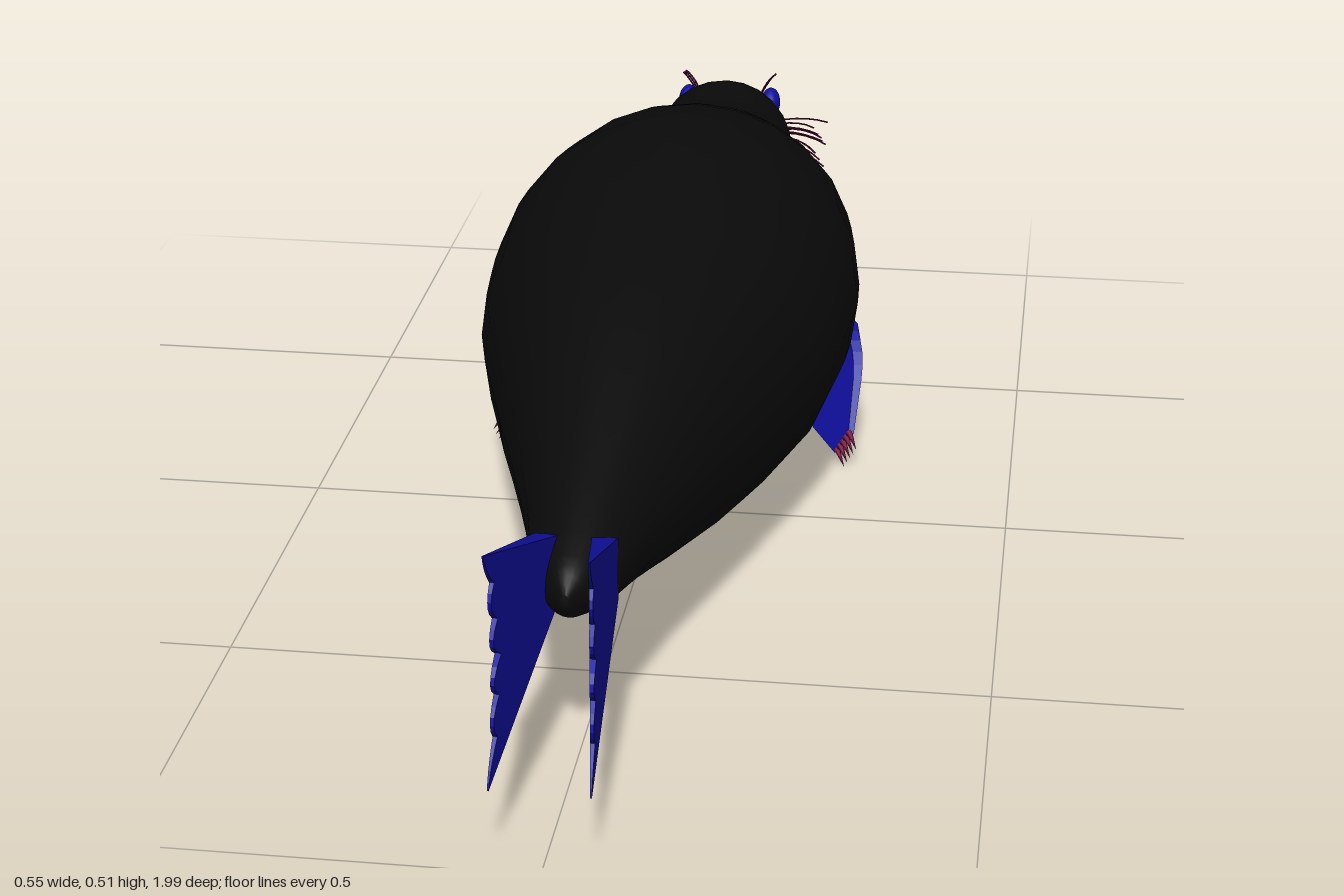
import * as THREE from 'three';

const mat = (name, color) => {
  const m = new THREE.MeshStandardMaterial({ color });
  m.name = name;
  return m;
};

// Body stations from tail to nose: z, top y, bottom y, half width
const STATIONS = [
  [0.81, 0.28, 0.26, 0.006], [0.78, 0.305, 0.235, 0.03], [0.73, 0.325, 0.217, 0.055],
  [0.6, 0.37, 0.178, 0.085], [0.3, 0.465, 0.085, 0.172], [0, 0.512, 0.026, 0.252],
  [-0.2, 0.523, 0.013, 0.268], [-0.4, 0.494, 0.055, 0.243], [-0.55, 0.445, 0.11, 0.19],
  [-0.7, 0.402, 0.158, 0.123], [-0.82, 0.397, 0.177, 0.11], [-0.9, 0.365, 0.192, 0.087],
  [-0.95, 0.335, 0.207, 0.068], [-0.98, 0.31, 0.23, 0.045], [-0.992, 0.28, 0.262, 0.012],
];

function bodyGeometry() {
  const size = new THREE.CatmullRomCurve3(STATIONS.map((s) => new THREE.Vector3(s[1], s[2], s[3])));
  const along = new THREE.CatmullRomCurve3(STATIONS.map((s) => new THREE.Vector3(0, 0, s[0])));
  const sides = 24, rings = (STATIONS.length - 1) * 3, pos = [], idx = [];
  for (let i = 0; i <= rings; i++) {
    const p = size.getPoint(i / rings), z = along.getPoint(i / rings).z;
    for (let j = 0; j < sides; j++) {
      const a = (j / sides) * Math.PI * 2;
      pos.push(p.z * Math.sin(a), (p.x + p.y) / 2 + ((p.x - p.y) / 2) * Math.cos(a), z);
      if (i === rings) continue;
      const k = (j + 1) % sides, q = i * sides, r = q + sides;
      idx.push(q + j, q + k, r + j, q + k, r + k, r + j);
    }
  }
  // Close both ends
  const last = rings * sides;
  for (let j = 1; j < sides - 1; j++) {
    idx.push(0, j + 1, j, last, last + j, last + j + 1);
  }
  const g = new THREE.BufferGeometry();
  g.setAttribute('position', new THREE.Float32BufferAttribute(pos, 3));
  g.setIndex(idx);
  g.computeVertexNormals();
  return g;
}

// Thin blade drawn in (z, y), then set at x = side * centre(z, y) with a varying half thickness
function bladeGeometry(shape, side, centre, half) {
  const g = new THREE.ExtrudeGeometry(shape, { depth: 2, bevelEnabled: false, curveSegments: 5 });
  const p = g.attributes.position;
  for (let i = 0; i < p.count; i++) {
    const z = p.getX(i), y = p.getY(i), d = p.getZ(i) - 1;
    p.setXYZ(i, side * centre(z, y) - d * half(z), y, z);
  }
  g.computeVertexNormals();
  return g;
}

// Tail fin with a webbed trailing edge
function tailFinShape() {
  const s = new THREE.Shape();
  s.moveTo(0.72, 0.235);
  s.lineTo(1, 0.12);
  const notches = [[0.965, 0.172], [0.955, 0.222], [0.945, 0.27], [0.955, 0.32], [0.965, 0.37], [1, 0.42]];
  let y0 = 0.12;
  for (const [z, y] of notches) {
    s.quadraticCurveTo(0.993, (y0 + y) / 2, z, y);
    y0 = y;
  }
  s.lineTo(0.72, 0.315);
  s.closePath();
  return s;
}

function flipperShape() {
  const s = new THREE.Shape();
  s.moveTo(-0.2, 0.058);
  s.lineTo(-0.245, 0.125);
  s.quadraticCurveTo(-0.28, 0.175, -0.32, 0.185);
  s.lineTo(-0.385, 0.182);
  s.lineTo(-0.38, 0.14);
  s.quadraticCurveTo(-0.34, 0.08, -0.3, 0.06);
  s.lineTo(-0.255, 0.04);
  s.lineTo(-0.2, 0.025);
  s.closePath();
  return s;
}
const flipperX = (z, y) => 0.25 + 0.6 * (y - 0.17) + (z < -0.3 ? 0.4 : 0.8) * (z + 0.3);

export function createModel() {
  const root = new THREE.Group();
  root.name = 'seal';
  const skin = mat('blackSkin', 0x0a0a0a);
  const blue = mat('blueFlipper', 0x1010a0);
  const claw = mat('crimsonClaw', 0x801040);
  const hair = mat('purpleWhisker', 0x5a0a40);
  const green = mat('greenCheek', 0x10c010);
  green.side = THREE.DoubleSide;

  const add = (name, geometry, material, parent = root) => {
    const m = new THREE.Mesh(geometry, material);
    m.name = name;
    parent.add(m);
    return m;
  };

  add('body', bodyGeometry(), skin);

  for (const s of [1, -1]) {
    const side = s > 0 ? 'left' : 'right';

    add(side + 'TailFin', bladeGeometry(tailFinShape(), s,
      (z) => 0.035 + 0.025 * (z - 0.72) / 0.28,
      (z) => 0.001 + 0.015 * (1 - z) / 0.28), blue);

    // Front flipper and its five claws
    add(side + 'Flipper', bladeGeometry(flipperShape(), s, flipperX,
      (z) => 0.004 + 0.045 * Math.min(0.2, -0.2 - z)), blue);
    const claws = new THREE.Group();
    claws.name = side + 'Claws';
    root.add(claws);
    const dir = new THREE.Vector3(s * 0.013, -0.016, 0.027);
    for (let i = 0; i < 5; i++) {
      const y = 0.027 + 0.0072 * i;
      const c = add('claw', new THREE.ConeGeometry(0.005, 0.036, 6), claw, claws);
      c.position.set(s * flipperX(-0.2, y), y, -0.2).addScaledVector(dir, 0.35);
      c.quaternion.setFromUnitVectors(new THREE.Vector3(0, 1, 0), dir.clone().normalize());
    }

    // Eye and lip patch
    const eye = add(side + 'Eye', new THREE.SphereGeometry(1, 14, 10), blue);
    eye.scale.set(0.016, 0.024, 0.025);
    eye.position.set(s * 0.068, 0.342, -0.885);
    const lip = add(side + 'Lip', new THREE.SphereGeometry(1, 12, 8), blue);
    lip.scale.set(0.012, 0.01, 0.025);
    lip.position.set(s * 0.045, 0.222, -0.93);

    // Cheek flap, flat across the body
    const flap = new THREE.Shape([[0.04, 0.21], [0.085, 0.22], [0.088, 0.148], [0.028, 0.155]]
      .map(([x, y]) => new THREE.Vector2(s * x, y)));
    add(side + 'CheekFlap', new THREE.ShapeGeometry(flap), green).position.z = -0.87;

    // Whiskers on the muzzle and above the eye
    const whiskers = new THREE.Group();
    whiskers.name = side + 'Whiskers';
    root.add(whiskers);
    const strand = (a, b, c) => {
      const curve = new THREE.QuadraticBezierCurve3(...[a, b, c].map(
        ([x, y, z]) => new THREE.Vector3(s * x, y, z)));
      add('whisker', new THREE.TubeGeometry(curve, 6, 0.0014, 4), hair, whiskers);
    };
    for (let row = 0; row < 3; row++) {
      for (let i = 0; i < 4; i++) {
        const z = -0.965 + 0.016 * i, y = 0.245 + 0.016 * row;
        const tipZ = -0.99 + 0.033 * i, reach = 0.135 + 0.01 * ((i + row) % 3);
        strand([0.05, y, z], [0.105, y + 0.012, (z + tipZ) / 2 - 0.012],
          [reach, y - 0.025 + 0.012 * row, tipZ]);
      }
    }
    for (let i = 0; i < 3; i++) {
      strand([0.05, 0.35, -0.9 + 0.012 * i], [0.06, 0.375, -0.9 + 0.012 * i],
        [0.075, 0.385 + 0.005 * i, -0.905 + 0.02 * i]);
    }
  }
  return root;
}
